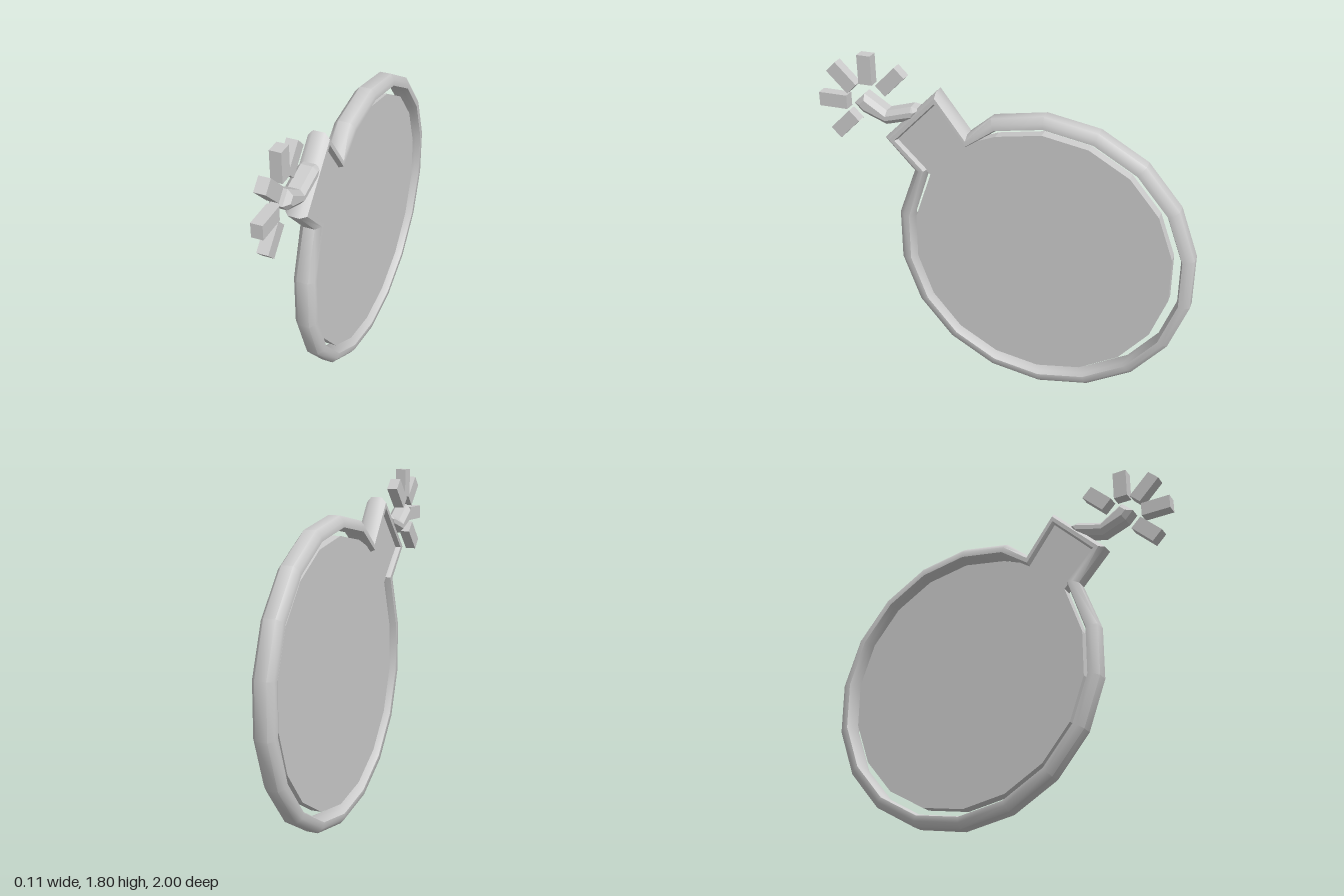
import * as THREE from 'three';
import { toCreasedNormals } from 'three/addons/utils/BufferGeometryUtils.js';

const material = new THREE.MeshStandardMaterial({ color: 0xcccccc, side: THREE.DoubleSide });

// Body outline as [z, y] pairs: an 18-sided round, opened at the upper front for a neck
function outline(centreZ, radius, corners, neck) {
  const points = [];
  for (let k = 0; k < corners; k++) {
    const a = THREE.MathUtils.degToRad(70 + 20 * k);
    points.push([centreZ + radius * Math.cos(a), 0.803 + radius * Math.sin(a)]);
  }
  return points.concat(neck);
}

// Sweep a closed [inset, x] profile round a closed [z, y] path
function sweep(path, profile) {
  const n = path.length, m = profile.length;
  const positions = [], index = [];
  path.forEach(([z, y], i) => {
    const a = path[(i + n - 1) % n], b = path[(i + 1) % n];
    const d1 = new THREE.Vector2(z - a[0], y - a[1]).normalize();
    const d2 = new THREE.Vector2(b[0] - z, b[1] - y).normalize();
    const t = d1.add(d2).normalize();
    profile.forEach(([inset, x], j) => {
      positions.push(x, y + t.x * inset, z - t.y * inset);
      const i2 = (i + 1) % n, j2 = (j + 1) % m;
      const p = i * m + j, q = i2 * m + j, r = i2 * m + j2, s = i * m + j2;
      index.push(p, q, r, p, r, s);
    });
  });
  const geometry = new THREE.BufferGeometry();
  geometry.setAttribute('position', new THREE.Float32BufferAttribute(positions, 3));
  geometry.setIndex(index);
  return toCreasedNormals(geometry, THREE.MathUtils.degToRad(50));
}

// Slab with a [z, y] outline, centred on x = 0
function slab(points, depth, bevel) {
  const shape = new THREE.Shape(points.map(([z, y]) => new THREE.Vector2(z, y)));
  const geometry = new THREE.ExtrudeGeometry(shape, {
    depth: depth - 2 * bevel, bevelEnabled: bevel > 0, bevelSegments: 1,
    bevelThickness: bevel, bevelSize: bevel, bevelOffset: -bevel,
  });
  return geometry.translate(0, 0, bevel - depth / 2).rotateY(-Math.PI / 2);
}

export function createModel() {
  const model = new THREE.Group();
  const add = (name, geometry) => {
    const mesh = new THREE.Mesh(geometry, material);
    mesh.name = name;
    model.add(mesh);
  };

  // Chamfered rim round the body and neck
  const rimPath = outline(-0.21, 0.802, 17, [[0.64, 1.37], [0.35, 1.66], [0.19, 1.45]]);
  add('rim', sweep(rimPath, [
    [0, 0.03], [0, -0.03], [0.028, -0.055], [0.058, -0.055],
    [0.068, -0.03], [0.068, 0.03], [0.058, 0.055], [0.028, 0.055],
  ]));

  // Body slab, thinner than the rim and set inside it with a narrow gap
  const neck = [[0.4, 1.19], [0.58, 1.37], [0.35, 1.6], [0.17, 1.41]];
  add('body', slab(outline(-0.198, 0.7, 16, neck), 0.057, 0));

  // Wavy fuse, as wide as the rim
  add('fuse', slab([
    [0.44, 1.55], [0.47, 1.49], [0.63, 1.445], [0.76, 1.495],
    [0.803, 1.54], [0.745, 1.597], [0.625, 1.52], [0.49, 1.56],
  ], 0.108, 0.024));

  // Ring of sparks: [angle from forward, sideways offset]
  const sparks = new THREE.Group();
  sparks.name = 'sparks';
  [[-45, 0], [0, 0.009], [45, 0.005], [90, -0.005], [135, -0.02]].forEach(([degrees, x]) => {
    const a = THREE.MathUtils.degToRad(degrees);
    const spark = new THREE.Mesh(new THREE.BoxGeometry(0.058, 0.074, 0.155), material);
    spark.name = 'spark';
    spark.position.set(x, 1.537 + 0.182 * Math.sin(a), 0.741 + 0.182 * Math.cos(a));
    spark.rotation.x = -a;
    sparks.add(spark);
  });
  model.add(sparks);

  return model;
}
